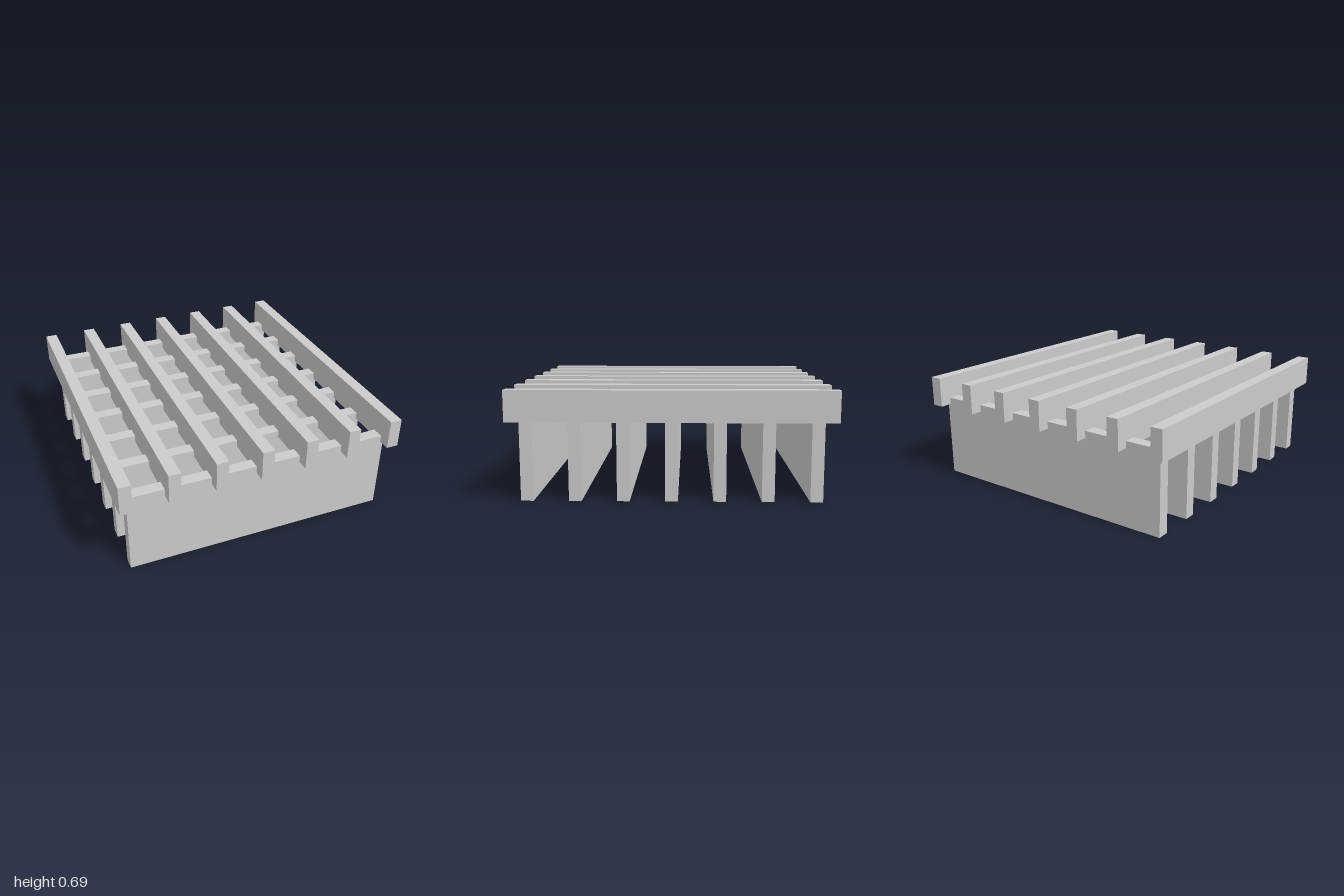
import * as THREE from 'three';

export function createModel() {
  const model = new THREE.Group();
  model.name = 'slattedGrid';
  const material = new THREE.MeshStandardMaterial({ color: 0xcccccc, flatShading: true });

  const count = 7, pitch = 0.295, thickness = 0.078;
  const panelGeometry = new THREE.BoxGeometry(1.73, 0.54, thickness);
  const slatGeometry = new THREE.BoxGeometry(thickness, 0.195, 2);

  const add = (name, geometry, x, y, z) => {
    const mesh = new THREE.Mesh(geometry, material);
    mesh.name = name;
    mesh.position.set(x, y, z);
    model.add(mesh);
  };

  for (let i = 0; i < count; i++) {
    const offset = (i - (count - 1) / 2) * pitch;
    // Upright panels standing across the width
    add(`uprightPanel${i + 1}`, panelGeometry, 0, 0.27, offset);
    // Long slats running front to back, let into the panel tops
    add(`topSlat${i + 1}`, slatGeometry, offset, 0.5925, 0);
  }
  return model;
}
